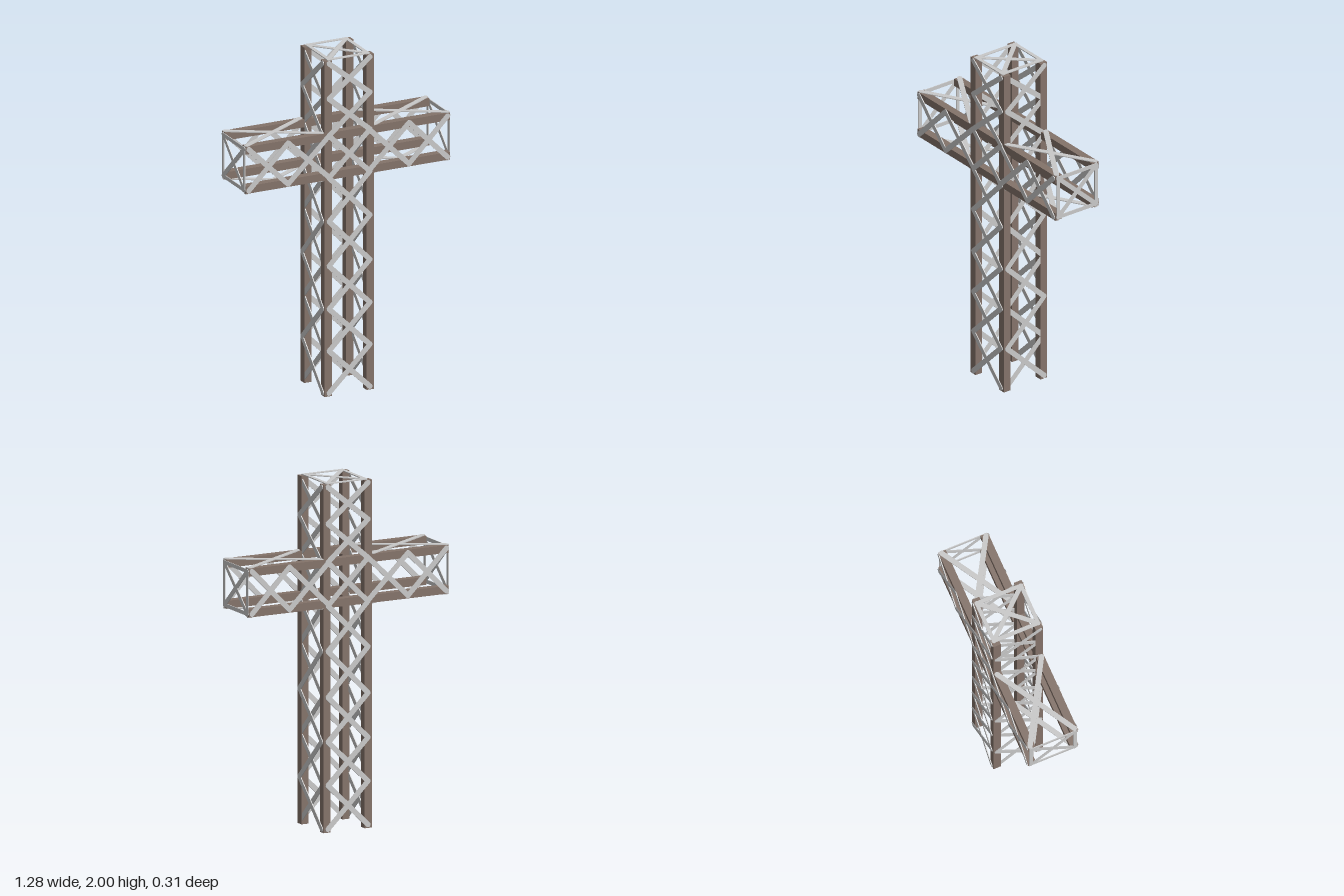
import * as THREE from 'three';

const brown = new THREE.MeshStandardMaterial({ color: 0x84736a });
brown.name = 'brown steel';
const grey = new THREE.MeshStandardMaterial({ color: 0xc9c9c9 });
grey.name = 'pale grey steel';

const T = 0.005; // strip thickness
const CX = 0.008; // tower axis
const HALF = 0.151; // half depth of the frame

// flat strip with rounded ends from a to b in the panel plane
function strip(panel, a, b, width = 0.03, lift = 0) {
  const dx = b[0] - a[0], dy = b[1] - a[1], h = Math.hypot(dx, dy) / 2, r = width / 2;
  const shape = new THREE.Shape();
  shape.absarc(h, 0, r, -Math.PI / 2, Math.PI / 2);
  shape.absarc(-h, 0, r, Math.PI / 2, Math.PI * 1.5);
  const geo = new THREE.ExtrudeGeometry(shape, { depth: T, bevelEnabled: false, curveSegments: 4 });
  const mesh = new THREE.Mesh(geo, grey);
  mesh.name = 'braceStrip';
  mesh.position.set((a[0] + b[0]) / 2, (a[1] + b[1]) / 2, lift);
  mesh.rotation.z = Math.atan2(dy, dx);
  panel.add(mesh);
}

// crossed pair filling a rectangle
function cross(panel, u0, u1, v0, v1, width, liftA = 0, liftB = 0) {
  strip(panel, [u0, v0], [u1, v1], width, liftA);
  strip(panel, [u1, v0], [u0, v1], width, liftB);
}

// rectangular frame with a cross inside
function framedCross(panel, u0, u1, v0, v1) {
  const w = 0.022;
  strip(panel, [u0, v0], [u1, v0], w);
  strip(panel, [u0, v1], [u1, v1], w);
  strip(panel, [u0, v0], [u0, v1], w);
  strip(panel, [u1, v0], [u1, v1], w);
  cross(panel, u0, u1, v0, v1, 0.026);
}

export function createModel() {
  const model = new THREE.Group();
  model.name = 'latticeCross';

  const beam = (name, w, h, d, x, y, z) => {
    const mesh = new THREE.Mesh(new THREE.BoxGeometry(w, h, d), brown);
    mesh.name = name;
    mesh.position.set(x, y, z);
    model.add(mesh);
  };
  const panel = (name, x, y, z, rx, ry) => {
    const group = new THREE.Group();
    group.name = name;
    group.position.set(x, y, z);
    group.rotation.set(rx, ry, 0);
    model.add(group);
    return group;
  };

  // four tower posts and four arm beams
  for (const s of [-1, 1]) for (const t of [-1, 1]) {
    beam('post', 0.045, 1.995, 0.045, CX + s * 0.131, 0.9975, t * (HALF - 0.0225));
    beam('armBeam', 1.272, 0.045, 0.045, 0, 1.427 + s * 0.117, t * (HALF - 0.0225));
  }

  const levels = [0.02, 0.27, 0.52, 0.775, 1.04, 1.3, 1.55, 1.77, 1.98];
  const armNodes = [[-0.62, -0.375], [-0.375, -0.12], [0.13, 0.38], [0.38, 0.62]];

  // front and back lattice of tower and arms
  for (const s of [1, -1]) {
    const face = panel(s > 0 ? 'frontLattice' : 'backLattice', 0, 0, s * HALF, 0, s > 0 ? 0 : Math.PI);
    for (let i = 0; i < 8; i++) cross(face, s * CX - 0.128, s * CX + 0.128, levels[i], levels[i + 1]);
    for (const [a, b] of armNodes) cross(face, s * a, s * b, 1.305, 1.55);
  }

  // side lattice: one zigzag outside the posts, the other tucked behind their faces
  for (const s of [1, -1]) {
    const side = panel(s > 0 ? 'leftLattice' : 'rightLattice', CX + s * 0.1535, 0, 0, 0, s * Math.PI / 2);
    for (let i = 0; i < 8; i++) {
      const outerFirst = i % 2 === 1;
      cross(side, -0.13, 0.13, levels[i], levels[i + 1], 0.03, outerFirst ? 0 : -0.008, outerFirst ? -0.008 : 0);
    }
    // arm end frames
    const end = panel(s > 0 ? 'leftArmEnd' : 'rightArmEnd', s * 0.636, 0, 0, 0, s * Math.PI / 2);
    framedCross(end, -0.133, 0.133, 1.305, 1.55);
    // long crosses above and below the arms
    const lid = panel(s > 0 ? 'armTopLattice' : 'armBottomLattice', 0, 1.427 + s * 0.1385, 0, -s * Math.PI / 2, 0);
    cross(lid, -0.625, -0.16, -0.135, 0.135);
    cross(lid, 0.17, 0.625, -0.135, 0.135);
  }

  // tower cap
  framedCross(panel('towerCap', 0, 1.995, 0, -Math.PI / 2, 0), -0.113, 0.13, -0.135, 0.135);
  return model;
}
